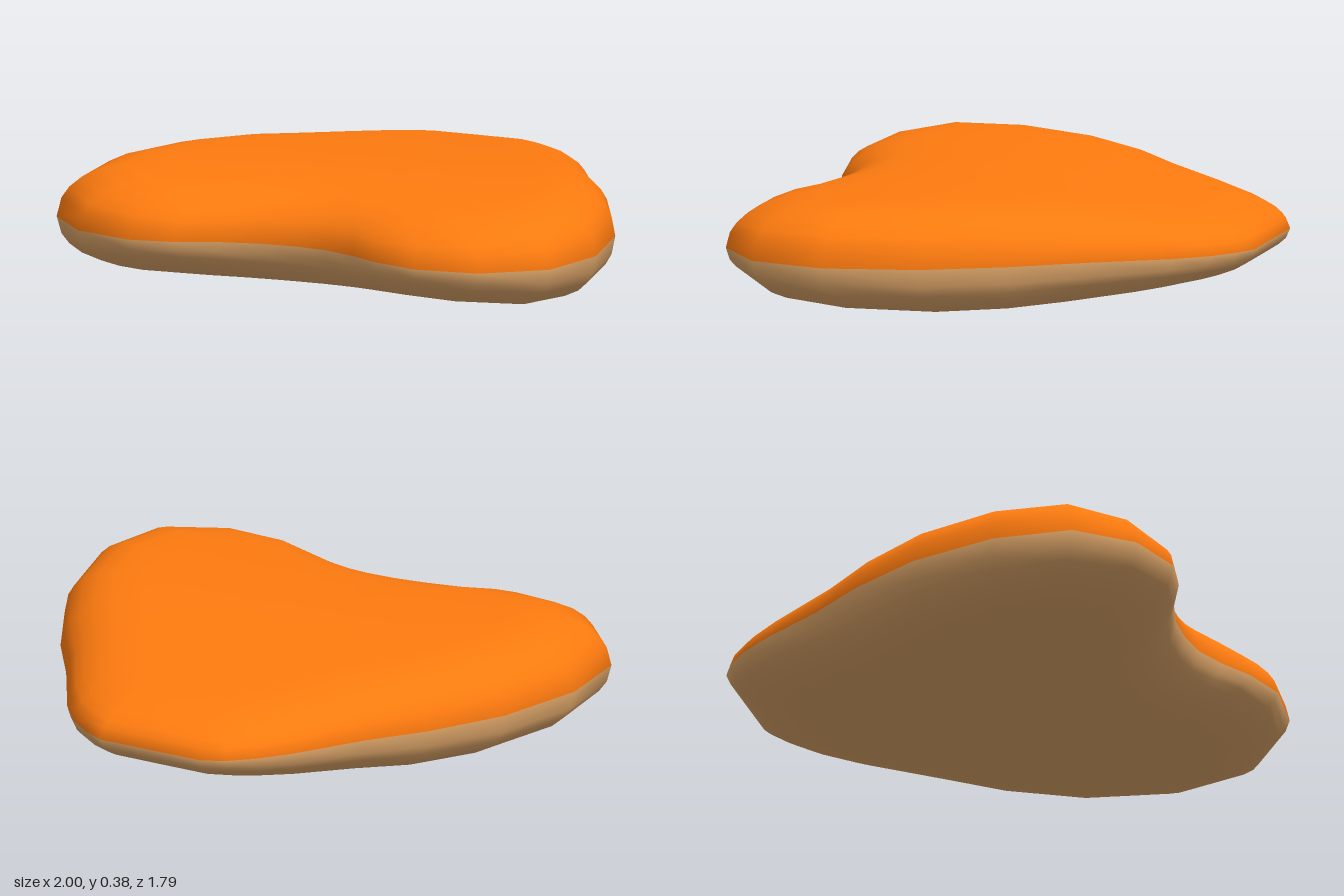
import * as THREE from 'three';

// Seam outline as [x, z], clockwise seen from above
const OUTLINE = [
  [-0.2, -0.9], [0, -0.9], [0.2, -0.9], [0.28, -0.86], [0.37, -0.79], [0.46, -0.68],
  [0.62, -0.41], [0.77, -0.19], [0.92, 0.1], [0.995, 0.43], [0.94, 0.7], [0.74, 0.86],
  [0.51, 0.89], [0.34, 0.84], [0.22, 0.775], [0.1, 0.73], [-0.02, 0.718], [-0.15, 0.725],
  [-0.29, 0.76], [-0.44, 0.825], [-0.6, 0.855], [-0.82, 0.79], [-0.985, 0.605], [-1, 0.32],
  [-0.905, 0], [-0.75, -0.26], [-0.6, -0.45], [-0.45, -0.68], [-0.365, -0.785], [-0.28, -0.86],
].map(([x, z]) => new THREE.Vector2(x, z));
const CENTRE = new THREE.Vector2(0, 0.1);
const SEAM_Y = 0.19;
const ROUNDING = 0.25; // width of the rounded rim
const RINGS = [1, 0.985, 0.96, 0.92, 0.86, 0.78, 0.66, 0.45, 0.22];

// Half thickness along z, as [z, height]
const TOP_CROWN = [[-0.9, 0.1], [-0.6, 0.132], [-0.2, 0.175], [0.1, 0.19], [0.45, 0.187], [0.9, 0.15]];
const BASE_CROWN = [[-0.9, 0.09], [-0.55, 0.145], [-0.2, 0.185], [0.1, 0.19], [0.5, 0.175], [0.9, 0.12]];

function crownAt(table, z) {
  for (let i = 1; i < table.length; i++) {
    const [z0, h0] = table[i - 1];
    const [z1, h1] = table[i];
    if (z <= z1) return THREE.MathUtils.lerp(h0, h1, (z - z0) / (z1 - z0));
  }
  return table[table.length - 1][1];
}

// Shortest distance from a point to the outline
function distanceToRim(p) {
  let best = Infinity;
  OUTLINE.forEach((a, i) => {
    const edge = OUTLINE[(i + 1) % OUTLINE.length].clone().sub(a);
    const t = THREE.MathUtils.clamp(p.clone().sub(a).dot(edge) / edge.lengthSq(), 0, 1);
    best = Math.min(best, p.distanceTo(a.clone().addScaledVector(edge, t)));
  });
  return best;
}

// One half of the cushion: rings shrinking to the centre, raised by distance from the rim
function shellHalf(name, color, crown, up) {
  const n = OUTLINE.length;
  const positions = [];
  const indices = [];
  const addPoint = (p) => {
    const t = Math.min(distanceToRim(p) / ROUNDING, 1);
    const rise = Math.sqrt(1 - Math.pow(1 - t, 2.5));
    positions.push(p.x, SEAM_Y + up * rise * crownAt(crown, p.y), p.y);
  };
  const addFace = (a, b, c) => (up > 0 ? indices.push(a, b, c) : indices.push(a, c, b));

  for (const s of RINGS) OUTLINE.forEach((p) => addPoint(CENTRE.clone().lerp(p, s)));
  addPoint(CENTRE);
  const last = RINGS.length - 1;
  for (let r = 0; r <= last; r++) {
    for (let j = 0; j < n; j++) {
      const a = r * n + j;
      const b = r * n + ((j + 1) % n);
      if (r === last) {
        addFace(b, a, n * RINGS.length);
      } else {
        addFace(b, a, a + n);
        addFace(b, a + n, b + n);
      }
    }
  }

  const geometry = new THREE.BufferGeometry();
  geometry.setAttribute('position', new THREE.Float32BufferAttribute(positions, 3));
  geometry.setIndex(indices);
  geometry.computeVertexNormals();
  // Level the rim normals so both halves meet smoothly at the seam
  const normals = geometry.attributes.normal;
  for (let j = 0; j < n; j++) {
    const v = new THREE.Vector3(normals.getX(j), 0, normals.getZ(j)).normalize();
    normals.setXYZ(j, v.x, 0, v.z);
  }
  const mesh = new THREE.Mesh(geometry, new THREE.MeshStandardMaterial({ color }));
  mesh.name = name;
  return mesh;
}

export function createModel() {
  const group = new THREE.Group();
  group.name = 'cushion';
  group.add(shellHalf('topHalf', 0xff7b0f, TOP_CROWN, 1));
  group.add(shellHalf('bottomHalf', 0xdca468, BASE_CROWN, -1));
  return group;
}
